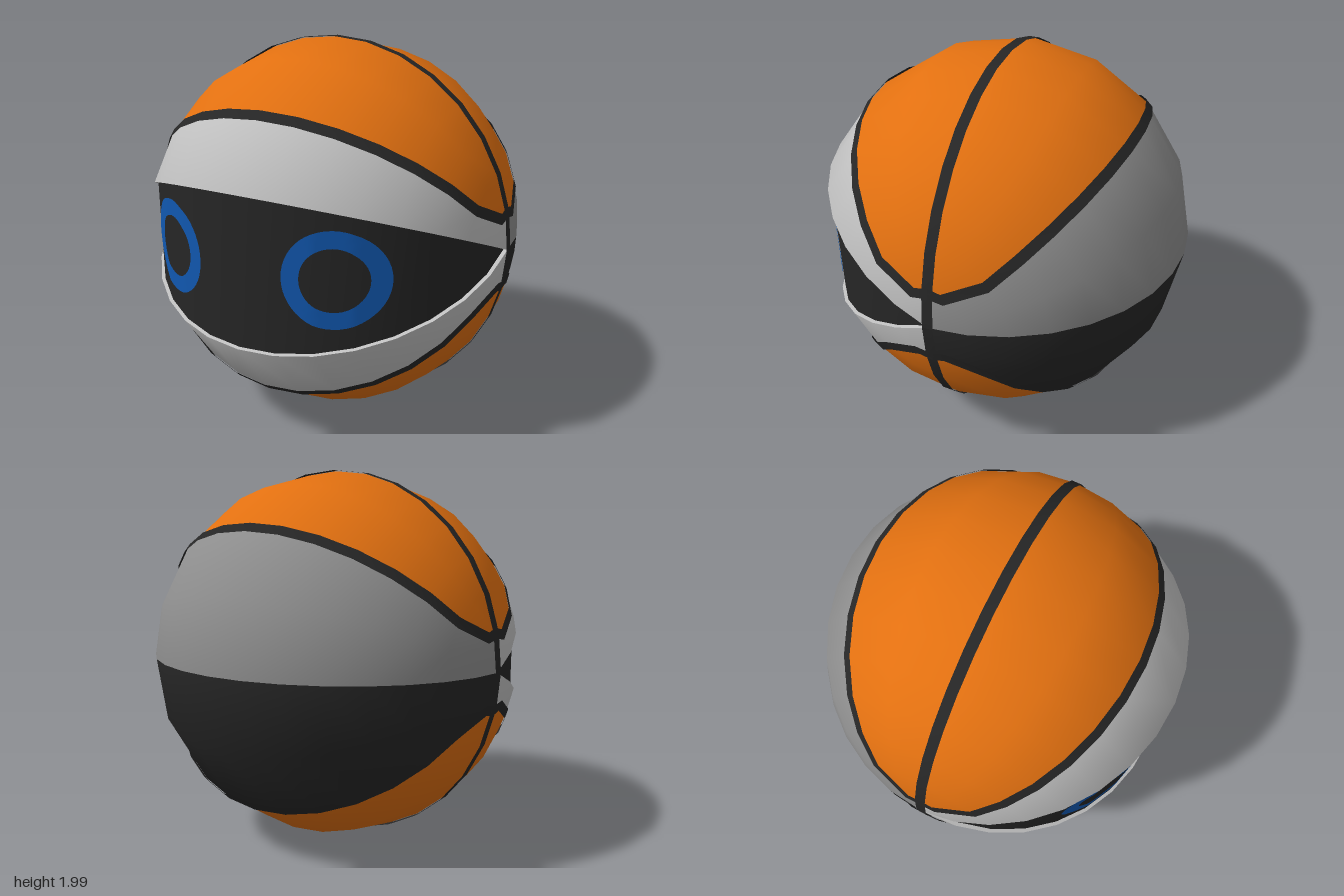
import * as THREE from 'three';

const mat = (name, color, side = THREE.FrontSide) => {
  const m = new THREE.MeshStandardMaterial({ color, side });
  m.name = name;
  return m;
};

const SIDES = 16, RINGS = 16;
const CENTRE = new THREE.Vector3(0, 1, 0.03);

// Grid point on the ball: i runs around the x axis (0 top, 4 front, 8 bottom, 12 back),
// j runs from the left pole (+x) to the right pole (-x).
function ballPoint(i, j) {
  const k = (i + SIDES) % SIDES;
  const t = (k / SIDES) * Math.PI * 2, p = (j / RINGS) * Math.PI;
  const r = (k === 3 || k === 5 ? 1.008 : 0.99) * Math.sin(p);
  const lift = k === 12 ? 0.02 * Math.sin(p) : 0;
  return new THREE.Vector3(0.99 * Math.cos(p), 1 + r * Math.cos(t) + lift, 0.03 + r * Math.sin(t));
}

// Visor: flat from top to bottom, curved across, set in slightly
function visorPoint(up, j) {
  const p = (j / RINGS) * Math.PI;
  return new THREE.Vector3(0.97 * Math.cos(p), 1 + up * 0.38 * Math.sin(p), 0.03 + 0.915 * Math.sin(p));
}

function visorDepth(x) {
  for (let j = 0; j < RINGS; j++) {
    const a = visorPoint(0, j), b = visorPoint(0, j + 1);
    if (x <= a.x && x >= b.x) return a.z + ((b.z - a.z) * (a.x - x)) / (a.x - b.x);
  }
  return 0.03;
}

// Two rows of points joined into a smooth band
function band(rowA, rowB) {
  const pos = [], idx = [];
  rowA.forEach((a, n) => {
    pos.push(...a.toArray(), ...rowB[n].toArray());
    if (n) {
      const k = 2 * n;
      idx.push(k - 2, k, k + 1, k - 2, k + 1, k - 1);
    }
  });
  const g = new THREE.BufferGeometry();
  g.setAttribute('position', new THREE.Float32BufferAttribute(pos, 3));
  g.setIndex(idx);
  g.computeVertexNormals();
  return g;
}

// Raised ribbon along a path of points on the ball
function ribbon(path, width) {
  const n = path.length, rowA = [], rowB = [];
  for (let k = 0; k <= n; k++) {
    const p = path[k % n];
    const out = p.clone().sub(CENTRE).normalize();
    const along = path[(k + 1) % n].clone().sub(path[(k + n - 1) % n]).normalize();
    const side = along.cross(out).normalize().multiplyScalar(width / 2);
    const base = p.clone().addScaledVector(out, 0.005);
    rowA.push(base.clone().sub(side));
    rowB.push(base.clone().add(side));
  }
  return band(rowA, rowB);
}

export function createModel() {
  const group = new THREE.Group();
  const orange = mat('orange', 0xe27010);
  const dark = mat('dark', 0x262626);
  const darkTrim = mat('dark trim', 0x262626, THREE.DoubleSide);
  const light = mat('light grey', 0xc0c0c0, THREE.DoubleSide);
  const grey = mat('mid grey', 0x8e8e8e);
  const blue = mat('blue', 0x1158b0);
  const add = (name, geometry, material) => {
    const m = new THREE.Mesh(geometry, material);
    m.name = name;
    group.add(m);
    return m;
  };

  // Ball panels: sort every triangle of the grid into its panel
  const panels = {
    upperOrangePanel: [orange, []], lowerOrangePanel: [orange, []],
    frontLightPanels: [light, []], backGreyPanel: [grey, []], backDarkPanel: [dark, []],
  };
  const fromSeam = (i) => Math.min(i % 8, 8 - (i % 8));
  const fromPole = (j) => Math.min(j, RINGS - j);
  const panelOf = (tri) => {
    const mean = (f) => tri.reduce((s, v) => s + f(v), 0) / 3;
    const a = mean((v) => fromSeam(v[0])), b = mean((v) => fromPole(v[1])), i = mean((v) => v[0]);
    if (b > 1 && a < Math.min(2, b)) return i < 4 || i > 12 ? 'upperOrangePanel' : 'lowerOrangePanel';
    if (i < 8) return 'frontLightPanels';
    return i > 12 ? 'backGreyPanel' : 'backDarkPanel';
  };
  for (let i = 0; i < SIDES; i++) {
    if (i === 3 || i === 4) continue; // visor opening
    for (let j = 0; j < RINGS; j++) {
      const A = [i, j], B = [i, j + 1], C = [i + 1, j + 1], D = [i + 1, j];
      const sameWay = (fromSeam(i + 1) > fromSeam(i)) === (j < RINGS / 2);
      const tris = sameWay ? [[A, B, C], [A, C, D]] : [[A, B, D], [B, C, D]];
      for (const tri of tris) panels[panelOf(tri)][1].push(...tri.map((v) => ballPoint(...v)));
    }
  }
  for (const [name, [material, points]] of Object.entries(panels)) {
    const g = new THREE.BufferGeometry().setFromPoints(points);
    const normals = points.flatMap((p) => p.clone().sub(CENTRE).normalize().toArray());
    g.setAttribute('normal', new THREE.Float32BufferAttribute(normals, 3));
    add(name, g, material);
  }

  // Visor and the lips around it
  const row = (f) => Array.from({ length: RINGS + 1 }, (_, j) => f(j));
  add('visor', band(row((j) => visorPoint(1, j)), row((j) => visorPoint(-1, j))), darkTrim);
  add('upperLip', band(row((j) => ballPoint(3, j)), row((j) => visorPoint(1, j))), light);
  add('lowerLip', band(row((j) => visorPoint(-1, j)), row((j) => ballPoint(5, j))), light);

  // Seam running over both poles
  const ring = [];
  for (let j = 0; j < RINGS; j++) ring.push(ballPoint(0, j));
  for (let j = RINGS; j > 0; j--) ring.push(ballPoint(8, j));
  add('middleSeam', ribbon(ring, 0.055), darkTrim);

  // Seams bordering the orange panels
  for (const [name, c] of [['upperPanelSeam', 0], ['lowerPanelSeam', 8]]) {
    const path = [ballPoint(c, 1), ballPoint(c + 1, 1)];
    for (let j = 2; j <= RINGS - 2; j++) path.push(ballPoint(c + 2, j));
    path.push(ballPoint(c + 1, RINGS - 1), ballPoint(c, RINGS - 1), ballPoint(c - 1, RINGS - 1));
    for (let j = RINGS - 2; j >= 2; j--) path.push(ballPoint(c - 2, j));
    path.push(ballPoint(c - 1, 1));
    add(name, ribbon(path, 0.055), darkTrim);
  }

  // Ring eyes following the visor
  for (const [name, x] of [['leftEye', 0.455], ['rightEye', -0.455]]) {
    const g = new THREE.RingGeometry(0.146, 0.226, 48, 3);
    g.scale(1, 1.06, 1).translate(x, 1.017, 0);
    const p = g.attributes.position;
    for (let k = 0; k < p.count; k++) p.setZ(k, visorDepth(p.getX(k)) + 0.006);
    g.computeVertexNormals();
    add(name, g, blue);
  }
  return group;
}
